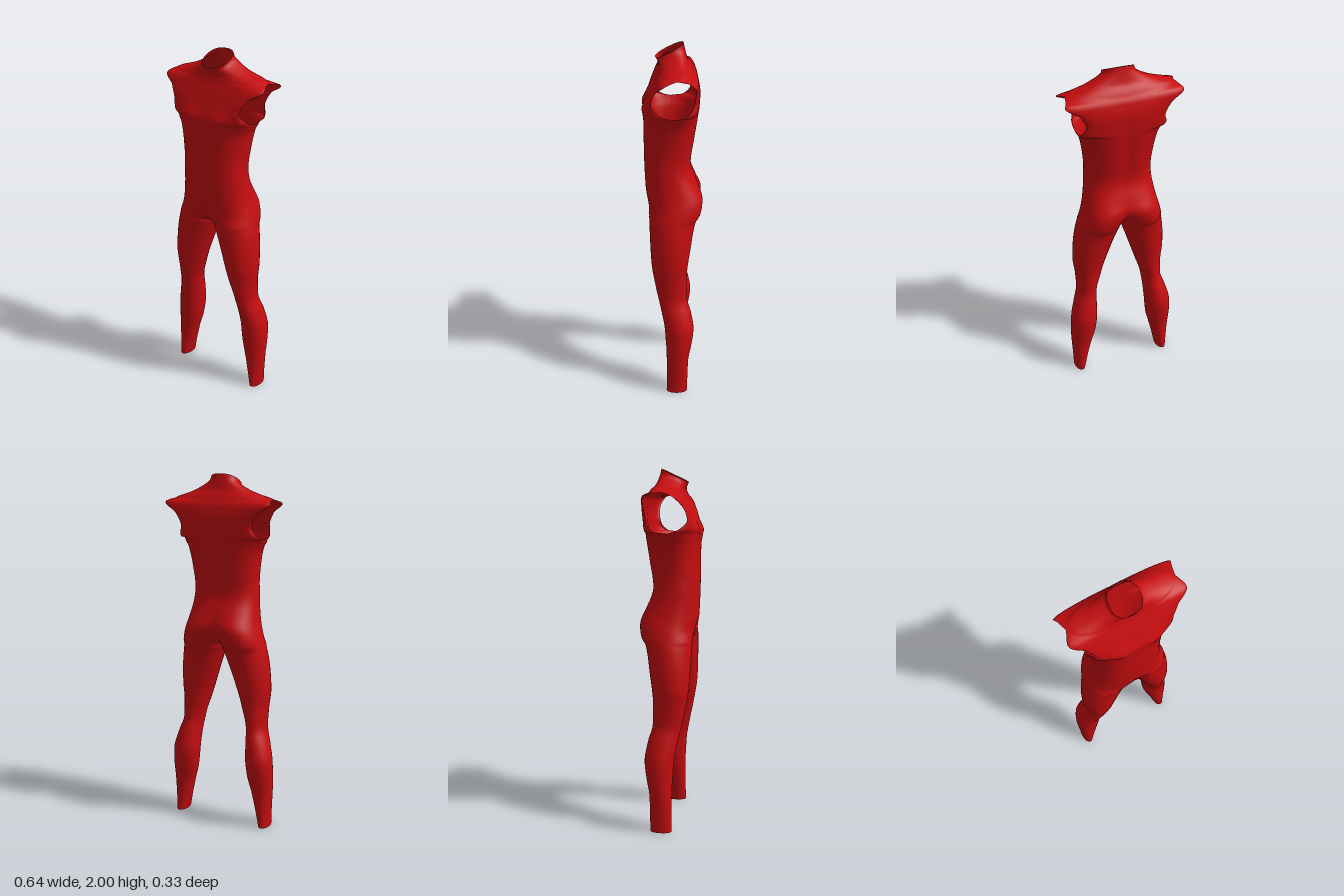
import * as THREE from 'three';
import { mergeVertices } from 'three/addons/utils/BufferGeometryUtils.js';

// Smooth monotone curve through [height, value] points
function curve(pts) {
  const n = pts.length;
  const d = [];
  for (let i = 0; i < n - 1; i++) d.push((pts[i + 1][1] - pts[i][1]) / (pts[i + 1][0] - pts[i][0]));
  const m = pts.map((_, i) => {
    if (i === 0) return d[0];
    if (i === n - 1) return d[n - 2];
    return d[i - 1] * d[i] <= 0 ? 0 : (2 * d[i - 1] * d[i]) / (d[i - 1] + d[i]);
  });
  return (y) => {
    if (y <= pts[0][0]) return pts[0][1];
    if (y >= pts[n - 1][0]) return pts[n - 1][1];
    let i = 0;
    while (y > pts[i + 1][0]) i++;
    const h = pts[i + 1][0] - pts[i][0], t = (y - pts[i][0]) / h, s = 1 - t;
    return s * s * (1 + 2 * t) * pts[i][1] + t * s * s * h * m[i]
      + t * t * (3 - 2 * t) * pts[i + 1][1] - t * t * s * h * m[i + 1];
  };
}

const CROTCH = 1.04, HOLE_LOW = 1.65, HOLE_TOP = 1.865, NECK = 1.92, TOP = 1.97;

// Outer side and inner leg, as x
const outer = curve([[0, 0.305], [0.1, 0.31], [0.3, 0.32], [0.4, 0.315], [0.5, 0.29], [0.6, 0.262],
  [0.7, 0.265], [0.8, 0.275], [0.9, 0.271], [1, 0.258], [1.1, 0.233], [1.2, 0.206], [1.3, 0.191],
  [1.4, 0.186], [1.5, 0.195], [1.6, 0.215], [1.65, 0.24], [1.72, 0.217], [1.79, 0.25], [1.845, 0.322],
  [1.87, 0.285], [1.89, 0.215], [1.91, 0.16], [1.94, 0.1], [1.95, 0.087], [1.97, 0.08]]);
const inner = curve([[0, 0.242], [0.1, 0.22], [0.2, 0.195], [0.3, 0.17], [0.4, 0.16], [0.5, 0.155],
  [0.6, 0.145], [0.7, 0.115], [0.8, 0.083], [0.9, 0.05], [1, 0.015], [CROTCH, 0]]);
// Front and back, as z
const front = curve([[0, 0.036], [0.2, 0.035], [0.4, 0.045], [0.5, 0.062], [0.64, 0.092], [0.8, 0.118],
  [1, 0.127], [1.1, 0.13], [1.2, 0.147], [1.4, 0.154], [1.66, 0.155], [1.72, 0.135], [1.8, 0.102],
  [1.86, 0.076], [1.9, 0.07], [1.93, 0.076], [1.97, 0.088]]);
const back = curve([[0, -0.083], [0.2, -0.09], [0.3, -0.108], [0.4, -0.12], [0.5, -0.105], [0.6, -0.08],
  [0.7, -0.08], [0.9, -0.105], [1.03, -0.13], [1.08, -0.157], [1.15, -0.168], [1.25, -0.135],
  [1.35, -0.105], [1.5, -0.125], [1.65, -0.145], [1.75, -0.15], [1.83, -0.137], [1.87, -0.112],
  [1.9, -0.085], [1.94, -0.07], [1.97, -0.062]]);
// Armhole rim, as z
const holeFront = curve([[1.65, 0.01], [1.66, 0.045], [1.68, 0.08], [1.72, 0.111], [1.76, 0.105],
  [1.8, 0.085], [1.84, 0.05], [1.855, 0.02], [1.865, -0.02]]);
const holeBack = curve([[1.65, 0.01], [1.655, -0.06], [1.7, -0.105], [1.75, -0.115], [1.8, -0.118],
  [1.85, -0.1], [1.86, -0.07], [1.865, -0.02]]);
// How far the section is divided into two legs
const splitFront = curve([[CROTCH, 1], [1.055, 0.55], [1.08, 0.22], [1.12, 0.07], [1.2, 0]]);
const splitBack = curve([[CROTCH, 1], [1.07, 0.65], [1.1, 0.45], [1.15, 0.26], [1.2, 0.13], [1.28, 0]]);
// Slope of the collar
const tilt = curve([[1.86, 0], [1.97, -0.48]]);

const bell = (v, c, w) => Math.exp(-(((v - c) / w) ** 2));
const mix = THREE.MathUtils.lerp;

// One quarter of a section at height y, from the side to the middle
function quarter(y, isFront, side, segs) {
  const zPeak = isFront ? front(y) : back(y);
  const inHole = y > HOLE_LOW && y < HOLE_TOP;
  const zSide = inHole ? (isFront ? holeFront(y) : holeBack(y)) : (front(y) + back(y)) / 2;
  const w = isFront ? splitFront(y) : splitBack(y);
  const xo = outer(y), xi = inner(y);
  const raw = [];
  for (let i = 0; i <= segs; i++) {
    const a = (i / segs) * Math.PI / 2;
    const x = mix(xo * Math.max(0, Math.cos(a)) ** 0.85, xi + (xo - xi) * (1 + Math.cos(2 * a)) / 2, w);
    raw.push([x, mix(Math.sin(a) ** 0.82, Math.sin(2 * a), w)]);
  }
  const peak = Math.max(...raw.map((p) => p[1]));
  return raw.map(([x, k]) => {
    let z = zSide + (zPeak - zSide) * k / peak;
    // chest muscles, spine hollow
    if (isFront) z += 0.012 * bell(x, 0.09, 0.055) * bell(y, 1.67, 0.055);
    else z += 0.013 * bell(x, 0, 0.03) * bell(y, 1.55, 0.2);
    return [side * x, y + tilt(y) * z, z];
  });
}

export function createModel() {
  const red = new THREE.MeshStandardMaterial({ color: 0xc40d10, side: THREE.DoubleSide });
  red.name = 'red cloth';

  // Section heights, finer around the crotch, armholes and shoulders
  const heights = [];
  const span = (a, b, n) => { for (let i = 0; i < n; i++) heights.push(a + (b - a) * i / n); };
  span(0, 0.96, 40);
  span(0.96, CROTCH, 6);
  span(CROTCH, 1.2, 16);
  span(1.2, HOLE_LOW, 22);
  span(HOLE_LOW, HOLE_TOP, 30);
  span(HOLE_TOP, NECK, 10);
  span(NECK, TOP, 8);
  heights.push(TOP);

  // Loft the four quarters
  const SEGS = 14, pos = [], index = [];
  for (const side of [1, -1]) for (const isFront of [true, false]) {
    const base = pos.length / 3;
    for (const y of heights) for (const p of quarter(y, isFront, side, SEGS)) pos.push(...p);
    const flip = (side === 1) !== isFront;
    for (let r = 0; r < heights.length - 1; r++) for (let i = 0; i < SEGS; i++) {
      const a = base + r * (SEGS + 1) + i, b = a + 1, c = a + SEGS + 1, d = c + 1;
      if (flip) index.push(a, b, c, b, d, c);
      else index.push(a, c, b, b, c, d);
    }
  }
  let skin = new THREE.BufferGeometry();
  skin.setAttribute('position', new THREE.Float32BufferAttribute(pos, 3));
  skin.setIndex(index);
  skin = mergeVertices(skin, 1e-5);
  skin.computeVertexNormals();

  // Divide the skin into named parts that share smooth normals
  const parts = { leftLeg: [], rightLeg: [], torso: [], collar: [] };
  const P = skin.attributes.position, I = skin.index;
  for (let t = 0; t < I.count; t += 3) {
    const tri = [I.getX(t), I.getX(t + 1), I.getX(t + 2)];
    const y = tri.reduce((s, v) => s + P.getY(v), 0) / 3;
    const x = tri.reduce((s, v) => s + P.getX(v), 0);
    const name = y < CROTCH ? (x > 0 ? 'leftLeg' : 'rightLeg') : y < NECK ? 'torso' : 'collar';
    parts[name].push(...tri);
  }
  const model = new THREE.Group();
  model.name = 'bodysuit';
  for (const [name, list] of Object.entries(parts)) {
    const geo = new THREE.BufferGeometry();
    geo.setAttribute('position', P);
    geo.setAttribute('normal', skin.attributes.normal);
    geo.setIndex(list);
    const mesh = new THREE.Mesh(geo, red);
    mesh.name = name;
    model.add(mesh);
  }
  return model;
}
